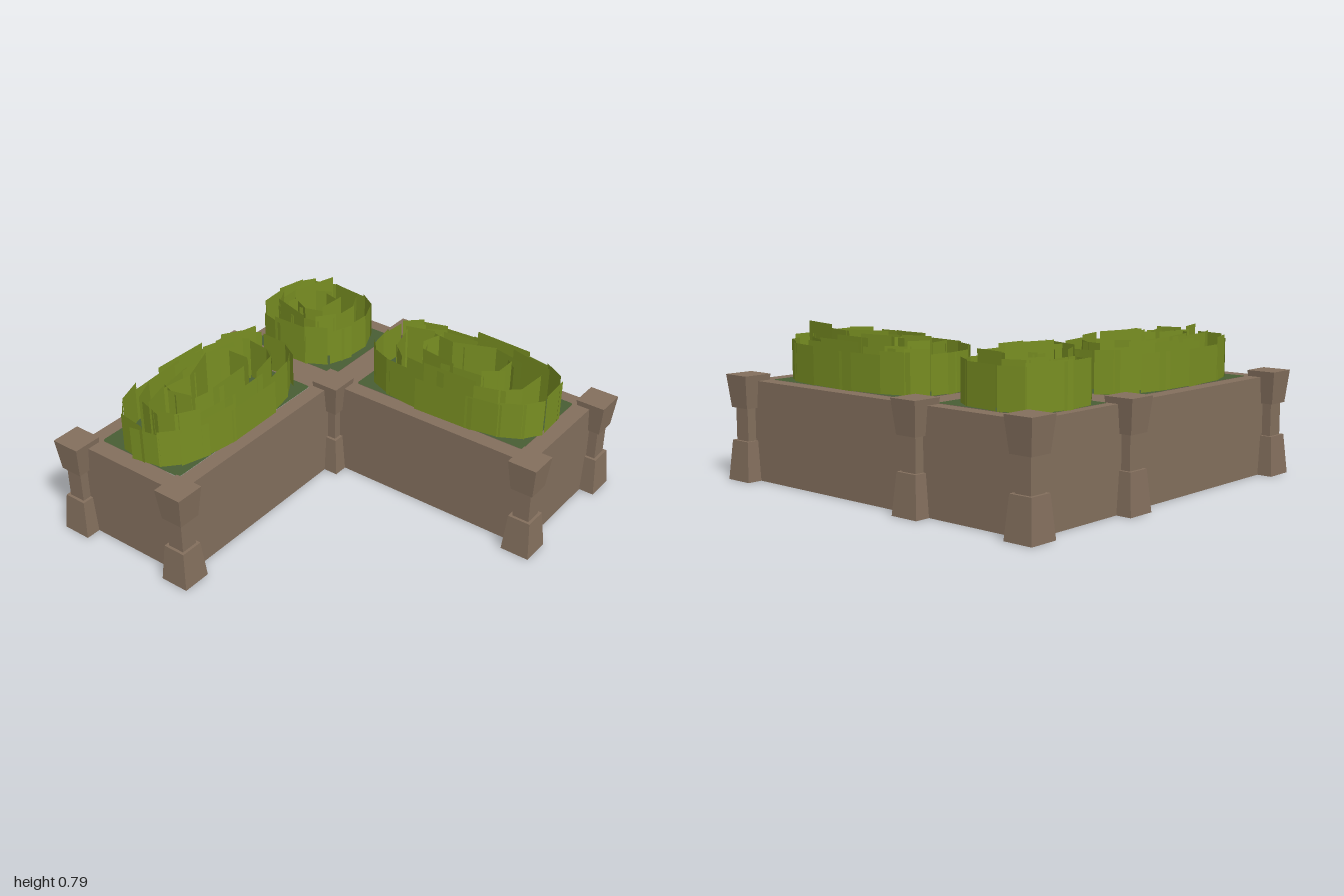
import * as THREE from 'three';

const mat = (name, color) => {
  const m = new THREE.MeshStandardMaterial({ color, side: THREE.DoubleSide, flatShading: true });
  m.name = name;
  return m;
};

export function createModel() {
  const root = new THREE.Group();
  root.name = 'planter';
  const stone = mat('brown stone', 0x836f5d);
  const soil = mat('dark green ground', 0x485e34);
  const leaf = mat('leaf green', 0x788e22);

  const add = (parent, name, geo, m) => {
    const mesh = new THREE.Mesh(geo, m);
    mesh.name = name;
    parent.add(mesh);
    return mesh;
  };

  // upright rectangle standing between two ground points [x, z]
  const panel = (parent, name, a, b, y0, y1, m) => {
    const dx = b[0] - a[0], dz = b[1] - a[1];
    const p = add(parent, name, new THREE.PlaneGeometry(Math.hypot(dx, dz), y1 - y0), m);
    p.position.set((a[0] + b[0]) / 2, (y0 + y1) / 2, (a[1] + b[1]) / 2);
    p.rotation.y = Math.atan2(-dz, dx);
  };

  // small seeded generator for the foliage, -1 to 1
  let seed = 7;
  const jitter = () => {
    seed = (seed * 16807) % 2147483647;
    return (seed / 2147483647) * 2 - 1;
  };

  // L-shaped walls
  const O = 0.92, I = -0.258, H = 0.5;
  const outline = [[-O, -O], [O, -O], [O, I], [I, I], [I, O], [-O, O]];
  outline.forEach((p, i) => panel(root, 'wall', p, outline[(i + 1) % 6], 0, H, stone));

  // beds: x0, x1, z0, z1
  const beds = [
    [-0.165, 0.83, -0.845, -0.34],
    [-0.87, -0.31, -0.845, -0.34],
    [-0.845, -0.34, -0.165, 0.83],
  ];
  const roundRect = (path, x0, x1, z0, z1, r = 0.02) => {
    const b = -z1, t = -z0;
    path.moveTo(x0 + r, b).lineTo(x1 - r, b).quadraticCurveTo(x1, b, x1, b + r);
    path.lineTo(x1, t - r).quadraticCurveTo(x1, t, x1 - r, t);
    path.lineTo(x0 + r, t).quadraticCurveTo(x0, t, x0, t - r);
    path.lineTo(x0, b + r).quadraticCurveTo(x0, b, x0 + r, b);
    return path;
  };

  // wall top with an opening for each bed
  const rim = new THREE.Shape(outline.map(([x, z]) => new THREE.Vector2(x, -z)));
  beds.forEach((b) => rim.holes.push(roundRect(new THREE.Path(), ...b)));
  add(root, 'rim', new THREE.ShapeGeometry(rim).rotateX(-Math.PI / 2).translate(0, H, 0), stone);
  beds.forEach((b) => add(root, 'soil',
    new THREE.ShapeGeometry(roundRect(new THREE.Shape(), ...b)).rotateX(-Math.PI / 2).translate(0, H + 0.002, 0), soil));

  // square posts with a narrow neck, open below
  const profile = [[0.077, 0], [0.06, 0.2], [0.045, 0.2], [0.045, 0.365], [0.06, 0.365], [0.077, 0.53], [0, 0.53]]
    .map(([r, y]) => new THREE.Vector2(r * Math.SQRT2, y));
  const postGeo = new THREE.LatheGeometry(profile, 4, Math.PI / 4);
  const P = 0.923, M = -0.257;
  [[-P, -P], [M, -P], [P, -P], [-P, M], [M, M], [P, M], [-P, P], [M, P]].forEach(([x, z]) => {
    add(root, 'post', postGeo, stone).position.set(x, 0, z);
  });

  // foliage: rings of upright leaf panels, taller toward the middle
  const foliage = (name, cx, cz, rx, rz, rings, crest) => {
    const g = new THREE.Group();
    g.name = name;
    root.add(g);
    const at = (t, k) => {
      const c = Math.cos(t), s = Math.sin(t), e = 0.72;
      return [cx + Math.sign(c) * Math.abs(c) ** e * rx * k, cz + Math.sign(s) * Math.abs(s) ** e * rz * k];
    };
    rings.forEach(([count, k, top]) => {
      for (let i = 0; i < count; i++) {
        const t = ((i + 0.2 * jitter()) / count) * Math.PI * 2;
        const w = (Math.PI / count) * 1.15;
        const y = top + 0.02 * jitter();
        panel(g, 'leafPanel', at(t - w, k - 0.04 * Math.abs(jitter())), at(t + w, k - 0.04 * Math.abs(jitter())), H, y, leaf);
      }
    });
    crest.forEach(([x0, z0, x1, z1, y]) => panel(g, 'crestPanel', [x0, z0], [x1, z1], H, y, leaf));
    return g;
  };

  const longRings = [[17, 1, 0.7], [13, 0.77, 0.725], [9, 0.5, 0.74]];
  const longCrest = [
    [-0.05, -0.61, 0.1, -0.655, 0.76], [0.08, -0.66, 0.3, -0.63, 0.745], [0.24, -0.61, 0.45, -0.695, 0.765],
    [0.42, -0.7, 0.62, -0.655, 0.76], [0.54, -0.705, 0.78, -0.645, 0.785],
  ];
  foliage('rightFoliage', 0.34, -0.585, 0.52, 0.265, longRings, longCrest);
  const front = foliage('frontFoliage', 0.34, -0.585, 0.52, 0.265, longRings, longCrest);
  front.rotation.y = Math.PI / 2;
  front.position.z = 0.67;
  foliage('cornerFoliage', -0.61, -0.585, 0.27, 0.265, [[13, 1, 0.71], [10, 0.74, 0.735], [6, 0.45, 0.745]], [
    [-0.65, -0.77, -0.72, -0.53, 0.785], [-0.66, -0.61, -0.7, -0.45, 0.76], [-0.76, -0.44, -0.54, -0.375, 0.76],
  ]);
  return root;
}
